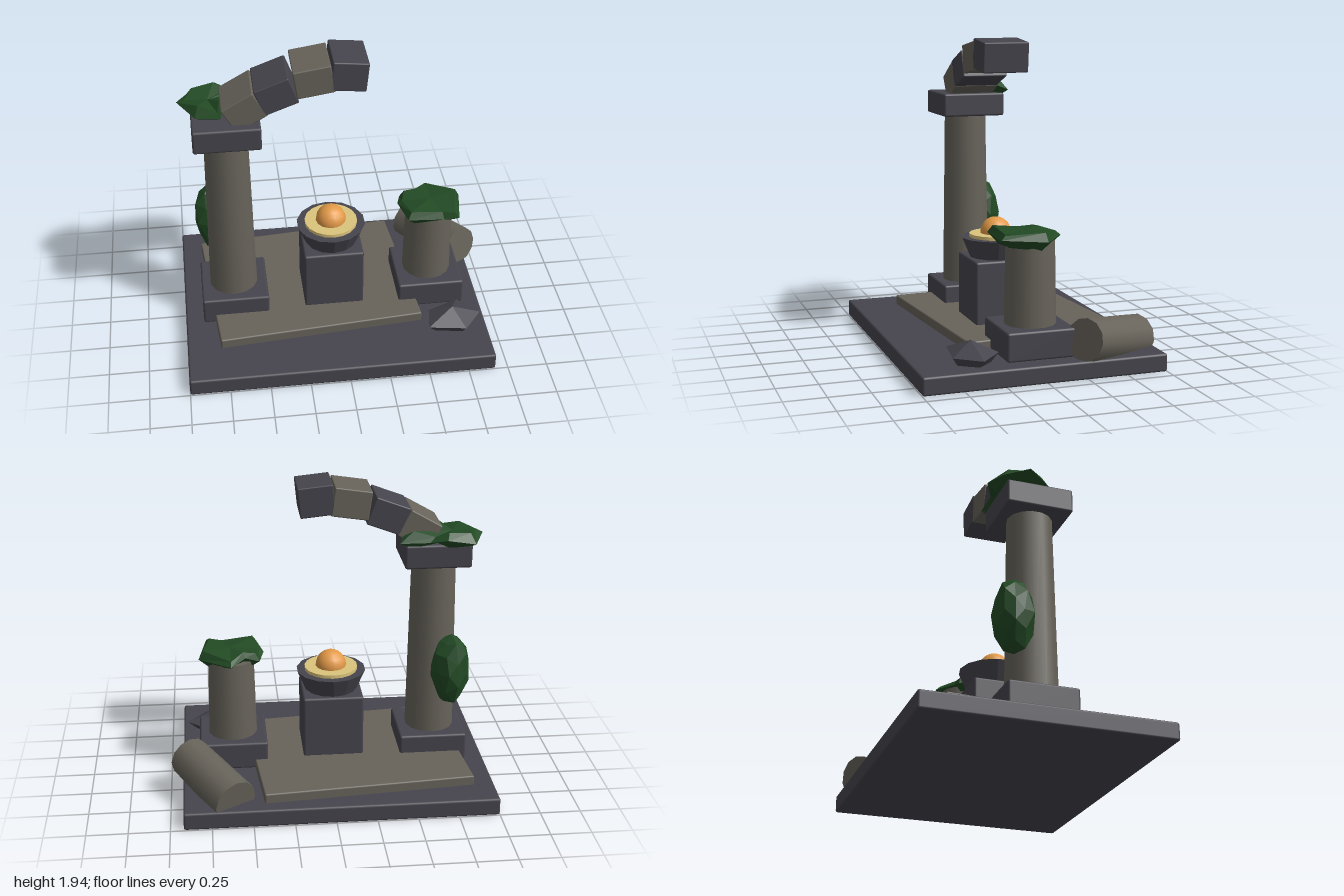
import * as THREE from 'three';
import { RoundedBoxGeometry } from 'three/addons/geometries/RoundedBoxGeometry.js';

const mat = (name, color) => {
  const m = new THREE.MeshStandardMaterial({ color });
  m.name = name;
  return m;
};

export function createModel() {
  const root = new THREE.Group();
  root.name = 'ruinedShrine';
  const dark = mat('darkStone', 0x46454d);
  const warm = mat('warmStone', 0x67635a);
  const green = mat('foliage', 0x224a24);
  const gold = mat('paleGold', 0xdcc47c);
  const orange = mat('emberOrange', 0xe39a48);

  const add = (name, geo, m, x = 0, y = 0, z = 0) => {
    const mesh = new THREE.Mesh(geo, m);
    mesh.name = name;
    mesh.position.set(x, y, z);
    root.add(mesh);
    return mesh;
  };
  // softly bevelled stone block spanning y0..y1
  const block = (name, m, x, y0, y1, z, w, d, r = 0.014) =>
    add(name, new RoundedBoxGeometry(w, y1 - y0, d, 2, r), m, x, (y0 + y1) / 2, z);
  // tapered round shaft
  const shaft = (name, x, y0, y1, rTop, rBottom) =>
    add(name, new THREE.CylinderGeometry(rTop, rBottom, y1 - y0, 14), warm, x, (y0 + y1) / 2, 0);

  // faceted lump: an outline [x, z] (clockwise from above) repeated at [scale, y] levels
  const lump = (name, m, outline, [cx, cz], levels, wobble) => {
    const n = outline.length;
    const rings = levels.map(([s, y], k) => outline.map(([x, z], i) => [
      cx + (x - cx) * s,
      y + (s > 0 ? wobble * Math.sin(i * 2.4 + k * 1.3) : 0),
      cz + (z - cz) * s,
    ]));
    const pos = [];
    for (let k = 0; k < rings.length - 1; k++) {
      for (let i = 0; i < n; i++) {
        const j = (i + 1) % n, L = rings[k], U = rings[k + 1];
        if (levels[k][0] > 0) pos.push(...L[i], ...U[i], ...L[j]);
        if (levels[k + 1][0] > 0) pos.push(...U[i], ...U[j], ...L[j]);
      }
    }
    const geo = new THREE.BufferGeometry();
    geo.setAttribute('position', new THREE.Float32BufferAttribute(pos, 3));
    geo.computeVertexNormals();
    return add(name, geo, m);
  };

  // base and skewed floor slab
  block('base', dark, -0.04, 0, 0.11, 0, 1.92, 1.5);
  block('floorSlab', warm, -0.18, 0.09, 0.17, -0.1, 1.305, 1.025, 0.01).rotation.y = 0.083;

  // tall column
  block('tallPlinth', dark, -0.672, 0.11, 0.285, 0, 0.425, 0.425);
  shaft('tallColumn', -0.675, 0.28, 1.42, 0.137, 0.155);
  block('capital', dark, -0.672, 1.41, 1.56, 0, 0.41, 0.41);

  // broken arch: [x, y, width, height, tilt]
  [[-0.56, 1.635, 0.22, 0.18, 0.52], [-0.37, 1.73, 0.222, 0.178, 0.36],
   [-0.147, 1.813, 0.23, 0.18, 0.15], [0.064, 1.834, 0.215, 0.187, -0.1]]
    .forEach(([x, y, w, h, tilt], i) => {
      block('archStone' + (i + 1), i % 2 ? dark : warm, x, y - h / 2, y + h / 2, 0, w, 0.29, 0.008)
        .rotation.z = tilt;
    });

  // broken short column
  block('shortPlinth', dark, 0.597, 0.11, 0.285, 0, 0.425, 0.425);
  shaft('shortColumn', 0.597, 0.28, 0.79, 0.146, 0.156);

  // fallen column drum, lying across the back corner
  const a = new THREE.Vector3(0.605, 0.14, -0.68), b = new THREE.Vector3(0.88, 0.228, -0.235);
  const drum = add('fallenColumn',
    new THREE.CylinderGeometry(0.129, 0.14, a.distanceTo(b), 12), warm);
  drum.position.copy(a).add(b).multiplyScalar(0.5);
  drum.quaternion.setFromUnitVectors(new THREE.Vector3(0, 1, 0), b.clone().sub(a).normalize());

  // altar with fire bowl
  block('altar', dark, -0.035, 0.16, 0.565, 0, 0.38, 0.38);
  const bowl = new THREE.CylinderGeometry(0.22, 0.165, 0.13, 14).toNonIndexed();
  bowl.computeVertexNormals();
  add('bowl', bowl, dark, -0.035, 0.625, 0);
  add('goldDisc', new THREE.CylinderGeometry(0.168, 0.168, 0.025, 18), gold, -0.035, 0.699, 0);
  add('emberBall', new THREE.SphereGeometry(0.097, 14, 10), orange, -0.035, 0.718, 0);

  // loose rock
  lump('rock', dark,
    [[0.535, 0.5], [0.565, 0.32], [0.76, 0.25], [0.89, 0.38], [0.77, 0.53]], [0.7, 0.4],
    [[0, 0.09], [0.68, 0.1], [1, 0.162], [0, 0.24]], 0.007);

  // foliage on the short column
  lump('shortColumnMoss', green,
    [[0.39, 0.02], [0.42, -0.085], [0.51, -0.09], [0.6, -0.19], [0.8, -0.04], [0.75, 0.23],
     [0.66, 0.2], [0.43, 0.21]], [0.6, 0.03],
    [[0, 0.75], [0.7, 0.755], [1, 0.805], [0.86, 0.842], [0, 0.845]], 0.014);

  // foliage on the capital
  lump('capitalMoss', green,
    [[-0.955, -0.09], [-0.89, -0.235], [-0.71, -0.275], [-0.61, -0.22], [-0.43, -0.22],
     [-0.455, -0.155], [-0.66, -0.1], [-0.68, 0.03], [-0.7, 0.12], [-0.85, 0.06]], [-0.77, -0.08],
    [[0, 1.55], [0.7, 1.552], [1, 1.59], [0.75, 1.63], [0, 1.615]], 0.022);

  // ivy clinging to the tall column
  const ivyGeo = new THREE.IcosahedronGeometry(1, 1);
  const p = ivyGeo.attributes.position;
  for (let i = 0; i < p.count; i++) {
    const x = p.getX(i), y = p.getY(i), z = p.getZ(i);
    const s = 1 + 0.07 * Math.sin(5 * x + 3 * y + 7 * z);
    p.setXYZ(i, x * s * 0.125, y * s * 0.235, z * s * 0.125);
  }
  ivyGeo.computeVertexNormals();
  add('columnIvy', ivyGeo, green, -0.78, 0.715, -0.14).rotation.y = 0.78;

  return root;
}
